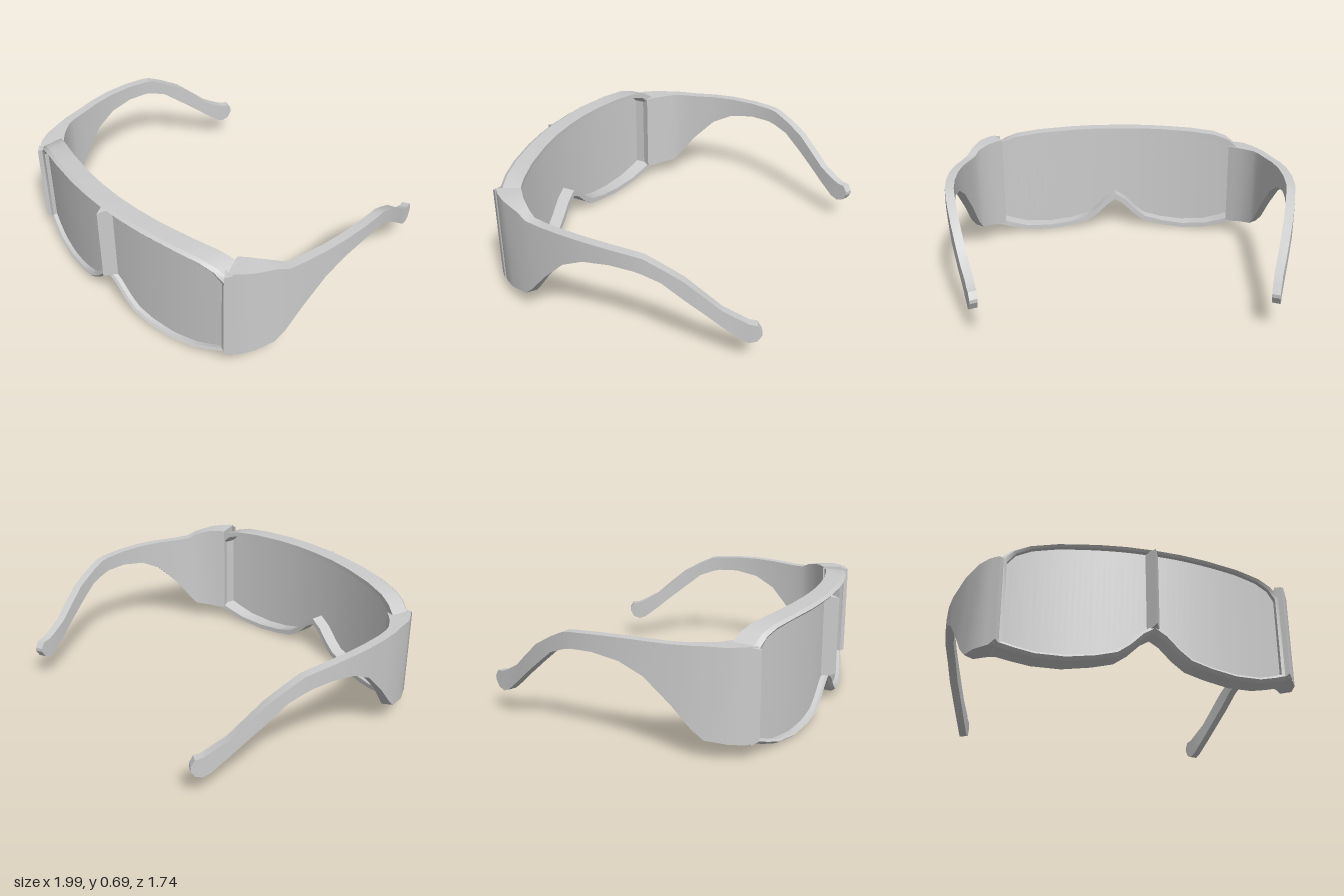
import * as THREE from 'three';
import { toCreasedNormals } from 'three/addons/utils/BufferGeometryUtils.js';

const grey = new THREE.MeshStandardMaterial({ color: 0xcccccc });
const greyThin = new THREE.MeshStandardMaterial({ color: 0xcccccc, side: THREE.DoubleSide });

// Joins closed cross-sections (arrays of [x, y, z]) into a solid; loop = ring without caps
function loft(sections, loop = false) {
  const n = sections[0].length, count = sections.length;
  const pts = sections.flat().map((p) => new THREE.Vector3(...p));
  const tris = [];
  for (let i = 0; i < (loop ? count : count - 1); i++) {
    for (let j = 0; j < n; j++) {
      const a = i * n + j, b = i * n + (j + 1) % n;
      const c = ((i + 1) % count) * n + j, d = ((i + 1) % count) * n + (j + 1) % n;
      tris.push([a, b, d], [a, d, c]);
    }
  }
  if (!loop) {
    const e = (count - 1) * n;
    for (let j = 1; j < n - 1; j++) tris.push([0, j + 1, j], [e, e + j, e + j + 1]);
  }
  // Turn the faces outward whichever way the sections run
  let volume = 0;
  for (const [a, b, c] of tris) volume += pts[a].dot(pts[b].clone().cross(pts[c]));
  const index = tris.flatMap(([a, b, c]) => (volume < 0 ? [a, c, b] : [a, b, c]));
  const g = new THREE.BufferGeometry().setFromPoints(pts);
  g.setIndex(index);
  return toCreasedNormals(g, 0.5);
}

function addPart(group, name, geometry, material = grey) {
  const mesh = new THREE.Mesh(geometry, material);
  mesh.name = name;
  group.add(mesh);
}

// Wrap-around curves of the frame, seen from above
const frontZ = (x) => 0.825 - 0.23 * x * x;
const backZ = (x) => 0.71 - 0.26 * x * x;

// Half of the rim: outer x, y and inner x, y, from the nose around to the top centre
const lower = [
  [0, 0.19, 0, 0.23], [0.05, 0.16, 0.07, 0.185], [0.12, 0.09, 0.14, 0.115],
  [0.19, 0.04, 0.2, 0.07], [0.3, 0.015, 0.31, 0.042], [0.45, 0, 0.45, 0.03],
  [0.6, 0.018, 0.6, 0.045], [0.7, 0.05, 0.7, 0.08], [0.79, 0.085, 0.755, 0.105],
];
const upper = [
  [0.79, 0.595, 0.755, 0.565], [0.73, 0.64, 0.71, 0.615], [0.65, 0.665, 0.63, 0.642],
  [0.5, 0.678, 0.5, 0.655], [0.3, 0.685, 0.3, 0.66], [0.15, 0.688, 0.15, 0.663], [0, 0.688, 0, 0.663],
];

// Height of the inner rim edge at a given x
function innerY(list, x) {
  for (let i = 1; i < list.length; i++) {
    const [, , x0, y0] = list[i - 1], [, , x1, y1] = list[i];
    if ((x - x0) * (x - x1) <= 0) return y0 + (y1 - y0) * (x - x0) / (x1 - x0);
  }
  return list[0][3];
}

function rim() {
  const half = [...lower, ...upper];
  const mirrored = half.slice(1, -1).reverse().map(([a, b, c, d]) => [-a, b, -c, d]);
  return loft([...half, ...mirrored].map(([ox, oy, ix, iy]) => {
    const mx = (ox + ix) / 2, my = (oy + iy) / 2;
    return [
      [ox, oy, frontZ(ox) - 0.02], [mx, my, frontZ(mx)], [ix, iy, frontZ(ix) - 0.01],
      [ix, iy, backZ(ix)], [ox, oy, backZ(ox)],
    ];
  }), true);
}

// Curved lens sheet cut to the inner edge of the rim
function lens() {
  const g = new THREE.PlaneGeometry(1.51, 1, 48, 1);
  const p = g.attributes.position;
  for (let i = 0; i < p.count; i++) {
    const x = p.getX(i), ax = Math.min(Math.abs(x), 0.755);
    const y = p.getY(i) > 0 ? innerY(upper, ax) + 0.005 : innerY(lower, ax) - 0.005;
    p.setXYZ(i, x, y, frontZ(x) - 0.035);
  }
  g.computeVertexNormals();
  return g;
}

// Temple stations: outer x, z, inner x, z, top y, bottom y
const templeStations = [
  [0.795, 0.685, 0.735, 0.56, 0.595, 0.09], [0.84, 0.64, 0.77, 0.53, 0.6, 0.09],
  [0.885, 0.57, 0.815, 0.49, 0.6, 0.1], [0.92, 0.46, 0.87, 0.42, 0.605, 0.115],
  [0.94, 0.4, 0.89, 0.375, 0.605, 0.17], [0.96, 0.3, 0.91, 0.29, 0.605, 0.29],
  [0.985, 0.16, 0.935, 0.155, 0.612, 0.43], [0.997, 0.03, 0.947, 0.03, 0.615, 0.495],
  [0.997, -0.12, 0.947, -0.115, 0.612, 0.52], [0.985, -0.25, 0.936, -0.24, 0.603, 0.515],
  [0.975, -0.3, 0.927, -0.29, 0.595, 0.502], [0.955, -0.39, 0.908, -0.375, 0.552, 0.468],
  [0.924, -0.5, 0.878, -0.482, 0.488, 0.38], [0.885, -0.61, 0.84, -0.59, 0.39, 0.29],
  [0.858, -0.68, 0.814, -0.66, 0.325, 0.228], [0.825, -0.77, 0.782, -0.75, 0.275, 0.155],
  [0.814, -0.81, 0.772, -0.79, 0.256, 0.14], [0.802, -0.85, 0.76, -0.83, 0.252, 0.155],
  [0.794, -0.873, 0.755, -0.852, 0.215, 0.195],
];

// raise lifts the tops of the first stations, where the temple meets the frame
function temple(side, raise) {
  return loft(templeStations.map(([ox, oz, ix, iz, top, bottom], i) => {
    const t = top + (raise[i] || 0);
    return [[side * ox, t, oz], [side * ox, bottom, oz], [side * ix, bottom, iz], [side * ix, t, iz]];
  }));
}

// Upright three-sided ridge, slanted back at its top and bottom
function ridge(x, z, halfWidth, depth, bottom, top) {
  const at = (y, tip) => [[x - halfWidth, y, z], [x, tip, z + depth], [x + halfWidth, y, z]];
  return loft([at(bottom, bottom + 0.02), at(top, top - 0.015)]);
}

export function createModel() {
  const model = new THREE.Group();
  model.name = 'wrapGoggles';
  addPart(model, 'rim', rim());
  addPart(model, 'lens', lens(), greyThin);
  addPart(model, 'noseRidge', ridge(0, 0.79, 0.035, 0.075, 0.2, 0.675));
  addPart(model, 'leftTemple', temple(1, [0.06, 0.055, 0.05, 0.025]));
  addPart(model, 'rightTemple', temple(-1, []));
  for (const [name, side, top] of [['left', 1, 0.655], ['right', -1, 0.595]]) {
    addPart(model, name + 'HingeRidge', ridge(side * 0.792, 0.67, 0.03, 0.035, 0.085, top));
  }
  return model;
}
